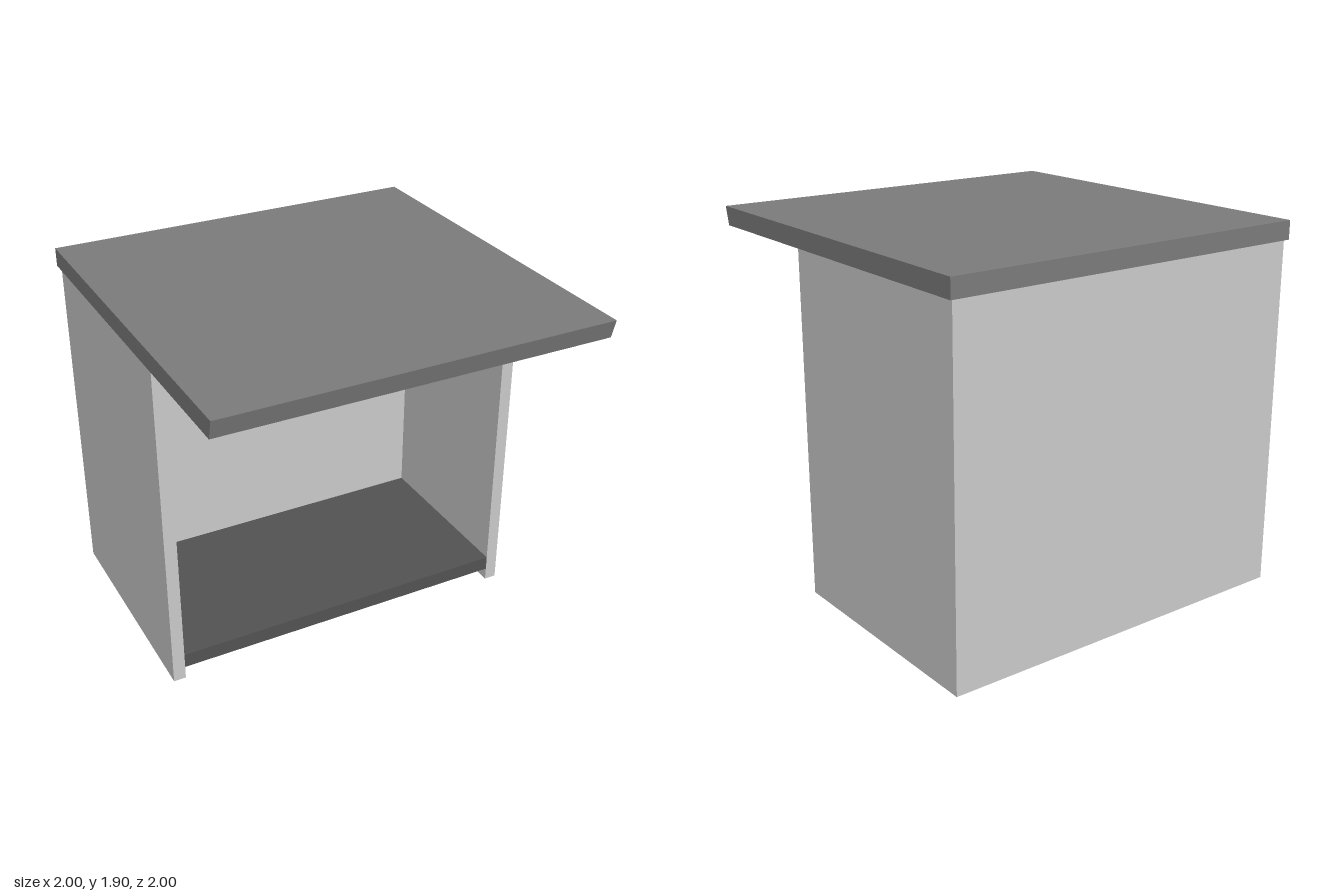
import * as THREE from 'three';

function flat(name, hex) {
  const m = new THREE.MeshStandardMaterial({ color: hex });
  m.name = name;
  return m;
}

// Prism made from a closed outline, extruded along its local z
function prism(points, depth) {
  const shape = new THREE.Shape(points.map(([a, b]) => new THREE.Vector2(a, b)));
  return new THREE.ExtrudeGeometry(shape, { depth, bevelEnabled: false });
}

export function createModel() {
  const wallGrey = flat('light grey', 0xc8c8c8);
  const roofGrey = flat('mid grey', 0x7a7a7a);
  const floorGrey = flat('dark grey', 0x525252);

  const outer = 0.982, inner = 0.917;           // side wall faces
  const front = 0.28, back = -0.985, innerBack = -0.665;
  const roofBottom = 1.807, roofTop = 1.903;

  const group = new THREE.Group();
  group.name = 'shelter';
  const add = (name, geometry, material) => {
    const mesh = new THREE.Mesh(geometry, material);
    mesh.name = name;
    group.add(mesh);
    return mesh;
  };

  // U-shaped walls: plan outline (x, -z) raised along y
  const walls = prism([
    [-outer, -front], [-inner, -front], [-inner, -innerBack], [inner, -innerBack],
    [inner, -front], [outer, -front], [outer, -back], [-outer, -back],
  ], roofBottom).rotateX(-Math.PI / 2);
  add('walls', walls, wallGrey);

  // Raised floor between the walls
  const floor = add('floor', new THREE.BoxGeometry(2 * inner, 0.078, front - innerBack), floorGrey);
  floor.position.set(0, 0.109, (front + innerBack) / 2);

  // Overhanging roof slab with a slanted front edge: profile (z, y) along x
  const roof = prism([
    [-1, roofBottom], [0.975, roofBottom], [1, roofTop], [-1, roofTop],
  ], 2).rotateY(-Math.PI / 2).translate(1, 0, 0);
  add('roof', roof, roofGrey);

  return group;
}
